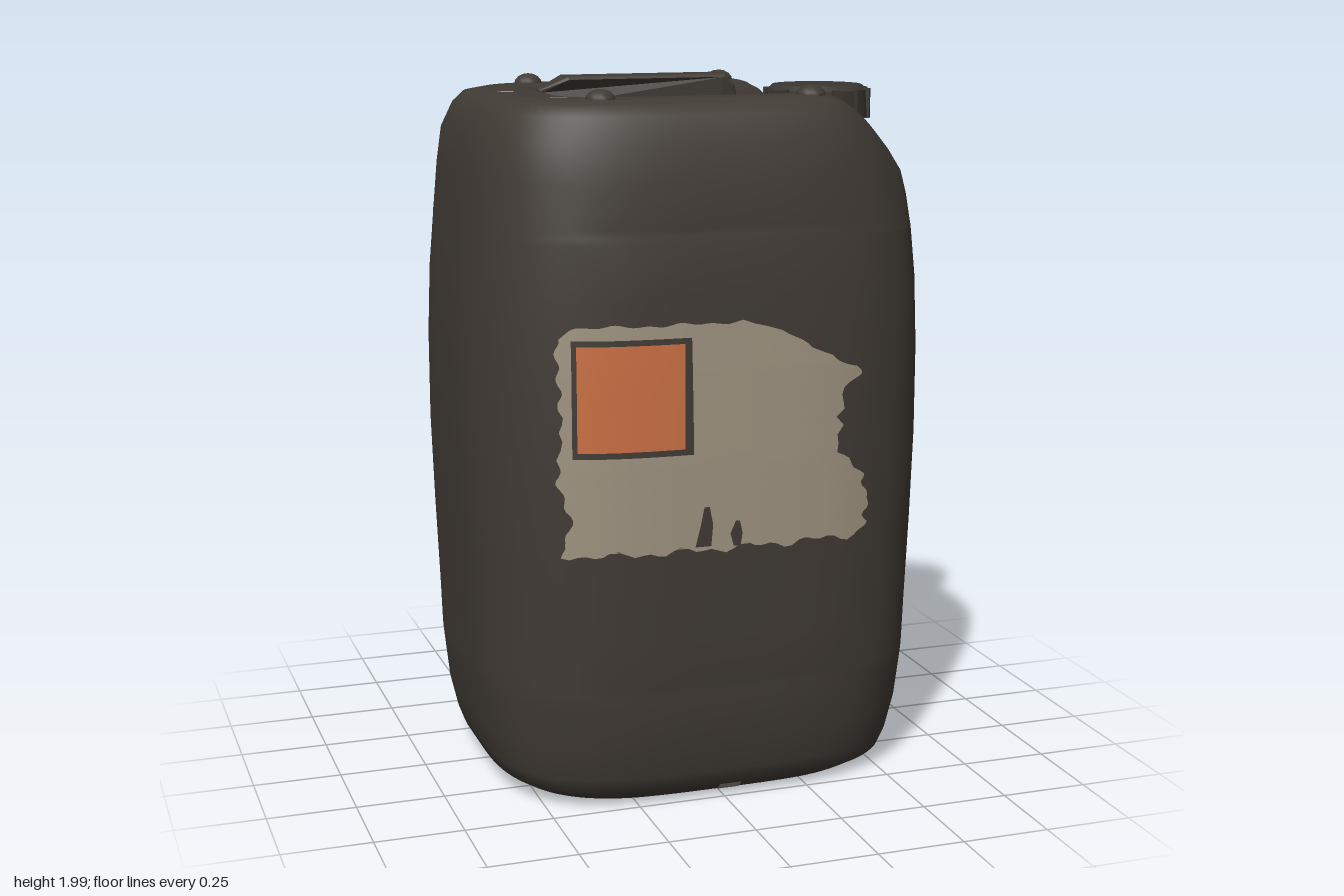
import * as THREE from 'three';

const paint = (name, color, side = THREE.FrontSide) => {
  const m = new THREE.MeshStandardMaterial({ color, side });
  m.name = name;
  return m;
};
const clamp01 = (t) => Math.min(1, Math.max(0, t));
const step = (a, b, v) => { const t = clamp01((v - a) / (b - a)); return t * t * (3 - 2 * t); };

// Wall profile: height, half width, half depth
const PROFILE = [
  [0.005, 0.5, 0.4], [0.02, 0.56, 0.46], [0.05, 0.595, 0.5], [0.1, 0.61, 0.52], [0.2, 0.63, 0.54],
  [0.33, 0.643, 0.556], [0.35, 0.645, 0.557], [0.37, 0.646, 0.558], [0.5, 0.65, 0.562],
  [0.75, 0.66, 0.568], [1, 0.668, 0.57], [1.25, 0.668, 0.568], [1.45, 0.66, 0.562],
  [1.59, 0.648, 0.552], [1.61, 0.647, 0.549], [1.63, 0.645, 0.545], [1.75, 0.635, 0.53],
  [1.85, 0.622, 0.51], [1.92, 0.59, 0.48], [1.95, 0.56, 0.45], [1.96, 0.51, 0.41],
];
const POWER = 3.4;

function sizeAt(y) {
  let i = 1;
  while (i < PROFILE.length - 1 && PROFILE[i][0] < y) i++;
  const [a, b] = [PROFILE[i - 1], PROFILE[i]];
  const t = clamp01((y - a[0]) / (b[0] - a[0]));
  return [a[1] + (b[1] - a[1]) * t, a[2] + (b[2] - a[2]) * t];
}

// How far the top sinks: handle pocket, open to the cap side, plus a sloped shoulder
function topDrop(x, z) {
  const halfZ = 0.17 + 0.08 * step(0.25, 0.5, x);
  const d = Math.hypot(Math.max(0, -0.25 - x), Math.max(0, Math.abs(z) - halfZ));
  const pocket = 0.17 * (1 - step(0, 0.14, d));
  return Math.max(pocket, 0.13 * step(0.32, 0.58, x));
}

// How far the underside rises: shallow arch and moulded cross recesses
function baseRise(x, z) {
  const az = Math.abs(z);
  const arch = 0.03 * Math.max(0, 1 - (az / 0.45) ** 2);
  const channel = step(0.03, 0.07, az) * (1 - step(0.2, 0.27, az)) * (1 - step(0.38, 0.44, Math.abs(x)));
  return arch + 0.04 * channel * step(-0.3, 0.4, Math.cos((x * Math.PI * 2) / 0.24));
}

// Grid of points; rows and columns are joined into faces
function gridGeometry(rows, cols, closed, point) {
  const pos = [], index = [];
  for (let i = 0; i < rows; i++) for (let j = 0; j < cols; j++) pos.push(...point(i, j));
  for (let i = 0; i < rows - 1; i++) {
    for (let j = 0; j < (closed ? cols : cols - 1); j++) {
      const k = (j + 1) % cols;
      const a = i * cols + j, b = i * cols + k, c = b + cols, d = a + cols;
      index.push(a, d, c, a, c, b);
    }
  }
  const g = new THREE.BufferGeometry();
  g.setAttribute('position', new THREE.Float32BufferAttribute(pos, 3));
  g.setIndex(index);
  g.computeVertexNormals();
  return g;
}

function bodyGeometry() {
  const rings = [];
  const first = PROFILE[0], last = PROFILE[PROFILE.length - 1];
  for (let k = 0; k < 30; k++) rings.push([...first, Math.max(0.001, k / 30)]);
  PROFILE.forEach((p) => rings.push([...p, 1]));
  for (let k = 35; k >= 0; k--) rings.push([...last, Math.max(0.001, k / 36)]);
  const cols = 128;
  return gridGeometry(rings.length, cols, true, (i, j) => {
    const [y, w, d, s] = rings[i];
    const c = Math.cos((j / cols) * Math.PI * 2), n = Math.sin((j / cols) * Math.PI * 2);
    const r = s * (Math.abs(c / w) ** POWER + Math.abs(n / d) ** POWER) ** (-1 / POWER);
    const x = c * r;
    let z = n * r;
    // Moulded crease lines across the front and back
    if (Math.abs(y - 1.61) < 0.005 || Math.abs(y - 0.35) < 0.005) z *= 1 - 0.018 * (1 - step(0.34, 0.43, Math.abs(x)));
    const h = y - topDrop(x, z) * step(1.5, 1.96, y) + baseRise(x, z) * (1 - step(0, 0.2, y));
    return [x, h, z];
  });
}

// Thin patch following the front wall; rows are [height, left x, right x], top to bottom
function frontPatch(outline, lift, ragged = 0) {
  const sub = 4, cols = 40, rows = (outline.length - 1) * sub + 1;
  return gridGeometry(rows, cols, false, (i, j) => {
    const k = Math.min(outline.length - 2, Math.floor(i / sub)), t = i / sub - k;
    const [y0, l, r] = outline[k].map((v, n) => v + (outline[k + 1][n] - v) * t);
    const wob = ragged * Math.sin(y0 * 90);
    const x = l + wob + (r - l + ragged * Math.sin(y0 * 130)) * (j / (cols - 1));
    const end = i === 0 ? 0.4 : i === rows - 1 ? 1 : 0;
    const y = y0 + end * ragged * (Math.sin(x * 33) + Math.sin(x * 71));
    const [w, d] = sizeAt(y);
    return [x, y, d * (1 - Math.abs(x / w) ** POWER) ** (1 / POWER) + lift];
  });
}

// Thin paint spot following the top or the underside
function spotGeometry(x, z, rx, rz, under = false) {
  const g = new THREE.CircleGeometry(1, 14);
  g.rotateX(under ? Math.PI / 2 : -Math.PI / 2).scale(rx, 1, rz).translate(x, 0, z);
  const p = g.attributes.position;
  for (let i = 0; i < p.count; i++) {
    const px = p.getX(i), pz = p.getZ(i);
    p.setY(i, under ? 0.001 + baseRise(px, pz) : 1.964 - topDrop(px, pz));
  }
  g.computeVertexNormals();
  return g;
}

function handleGeometry() {
  const shape = new THREE.Shape([
    [-0.39, 1.78], [-0.37, 1.955], [-0.3, 1.99], [0.16, 1.99], [0.185, 1.965], [0.245, 1.77],
    [0.195, 1.77], [0.145, 1.93], [-0.27, 1.93], [-0.31, 1.88], [-0.33, 1.78],
  ].map(([x, y]) => new THREE.Vector2(x, y)));
  const g = new THREE.ExtrudeGeometry(shape, {
    depth: 0.07, bevelThickness: 0.012, bevelSize: 0.01, bevelSegments: 2,
  });
  g.translate(0, 0, -0.035);
  // The legs are thinner than the grip
  const p = g.attributes.position;
  for (let i = 0; i < p.count; i++) {
    const x = p.getX(i);
    if (x < -0.305 || x > 0.2) p.setZ(i, p.getZ(i) * 0.45);
  }
  g.computeVertexNormals();
  return g.translate(0, 0, -0.02);
}

export function createModel() {
  const model = new THREE.Group();
  model.name = 'jerrycan';
  const plastic = paint('dark brown plastic', 0x413b35);
  const capPlastic = paint('dark cap plastic', 0x3b3631);
  const tan = paint('worn tan paper', 0xa09481, THREE.DoubleSide);
  const orange = paint('orange sticker', 0xcb7044);
  const add = (name, geometry, material, parent = model) => {
    const m = new THREE.Mesh(geometry, material);
    m.name = name;
    parent.add(m);
    return m;
  };

  add('body', bodyGeometry(), plastic);
  add('handle', handleGeometry(), plastic);
  add('baseSeam', new THREE.BoxGeometry(1, 0.02, 0.014), plastic).position.y = 0.032;

  // Stacking knobs on the rim
  for (const [x, z] of [[-0.31, -0.38], [0.29, -0.38], [-0.31, 0.36], [0.29, 0.36]]) {
    const knob = add('stackingKnob', new THREE.SphereGeometry(0.042, 14, 8), plastic);
    knob.scale.y = 0.75;
    knob.position.set(x, 1.955, z);
  }

  // Neck and ribbed screw cap
  const cap = new THREE.Group();
  cap.name = 'screwCap';
  cap.position.set(0.46, 0, -0.01);
  model.add(cap);
  const ring = (name, rTop, rBottom, y0, y1, mat) => {
    add(name, new THREE.CylinderGeometry(rTop, rBottom, y1 - y0, 30), mat, cap).position.y = (y0 + y1) / 2;
  };
  ring('neck', 0.115, 0.135, 1.72, 1.86, plastic);
  ring('sealRing', 0.135, 0.125, 1.835, 1.862, capPlastic);
  ring('capSkirt', 0.145, 0.15, 1.87, 1.948, capPlastic);
  ring('capTop', 0.13, 0.145, 1.948, 1.962, capPlastic);
  for (let i = 0; i < 12; i++) {
    const a = (i / 12) * Math.PI * 2;
    const rib = add('capRib', new THREE.BoxGeometry(0.018, 0.085, 0.022), capPlastic, cap);
    rib.position.set(Math.cos(a) * 0.147, 1.909, Math.sin(a) * 0.147);
    rib.rotation.y = -a;
  }

  // Torn paper label with framed orange square
  add('tornLabel', frontPatch([
    [1.38, -0.43, 0.03], [1.35, -0.48, 0.13], [1.31, -0.48, 0.21], [1.26, -0.48, 0.29],
    [1.235, -0.475, 0.37], [1.21, -0.475, 0.365], [1.18, -0.475, 0.32], [1.1, -0.47, 0.31],
    [1.0, -0.48, 0.3], [0.96, -0.48, 0.36], [0.92, -0.47, 0.38], [0.87, -0.45, 0.4],
    [0.83, -0.45, 0.4], [0.79, -0.47, 0.39], [0.76, -0.47, 0.37],
  ], 0.004, 0.007), tan);
  add('stickerFrame', frontPatch([[1.345, -0.445, -0.125], [1.028, -0.445, -0.12]], 0.006), plastic);
  add('orangeSticker', frontPatch([[1.33, -0.433, -0.145], [1.045, -0.433, -0.145]], 0.009), orange);
  add('labelTear', frontPatch([[0.88, -0.09, -0.075], [0.83, -0.1, -0.065], [0.77, -0.115, -0.07]], 0.006), plastic);
  add('labelTear', frontPatch([[0.835, 0.0, 0.012], [0.8, -0.015, 0.02], [0.765, -0.005, 0.015]], 0.006), plastic);

  // Paper scraps on the top and underside
  for (const s of [[-0.26, -0.08, 0.028, 0.022], [0.31, -0.15, 0.065, 0.042], [-0.49, 0.06, 0.024, 0.02], [-0.42, 0.34, 0.026, 0.014]])
    add('topScrap', spotGeometry(...s), tan);
  for (const s of [[-0.44, -0.1, 0.05, 0.05], [0.35, -0.25, 0.025, 0.02], [-0.35, 0.26, 0.025, 0.02]])
    add('baseScrap', spotGeometry(...s, true), tan);
  add('frontScrap', frontPatch([[0.05, -0.015, 0.05], [0.02, -0.01, 0.055]], 0.004), tan);
  return model;
}
